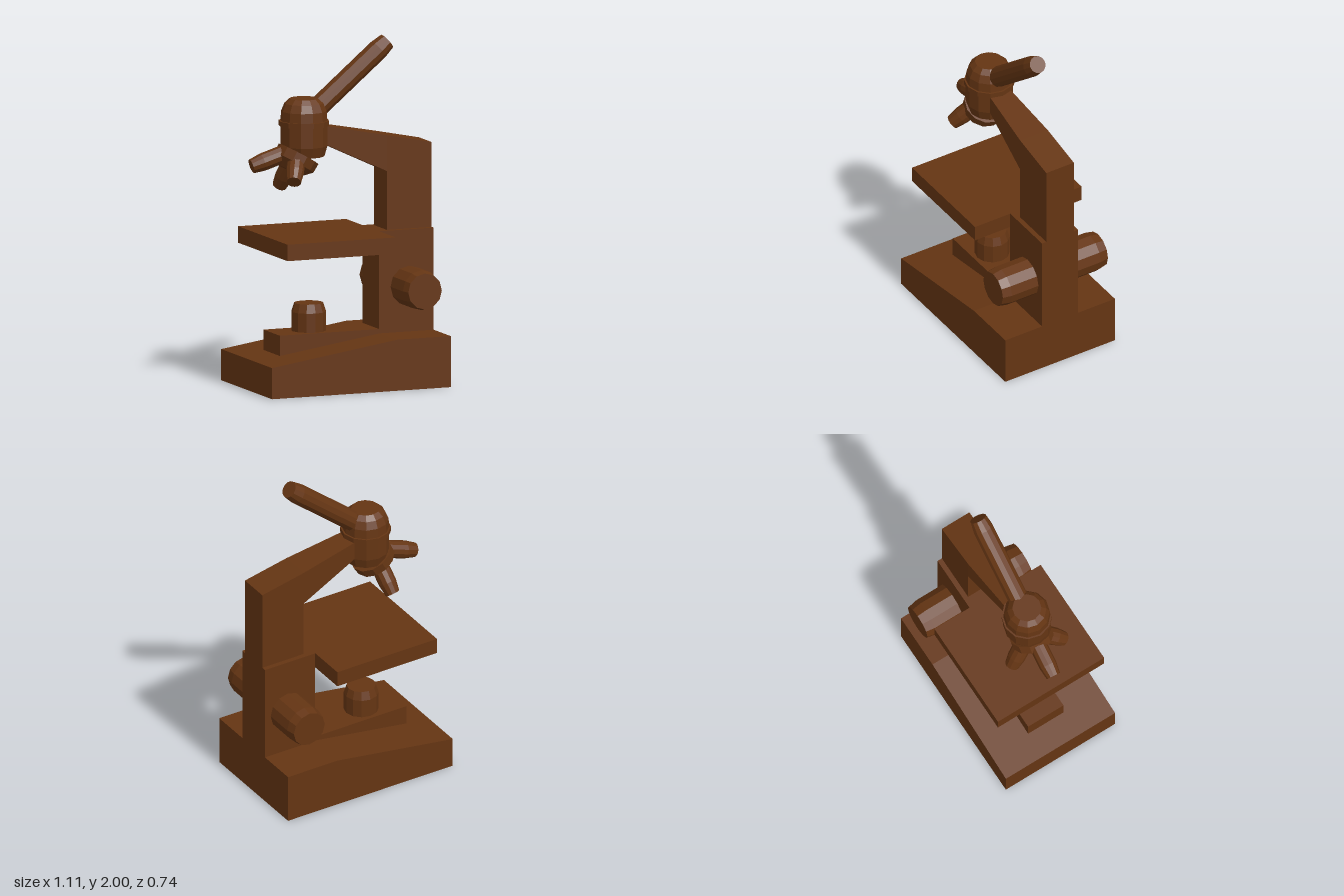
import * as THREE from 'three';

const material = new THREE.MeshStandardMaterial({ color: 0x653513, flatShading: true });

function add(parent, name, geometry) {
  const mesh = new THREE.Mesh(geometry, material);
  mesh.name = name;
  parent.add(mesh);
  return mesh;
}

// Box given by its limits in x and y, and its half depth in z
function block(parent, name, x0, x1, y0, y1, halfZ) {
  const mesh = add(parent, name, new THREE.BoxGeometry(x1 - x0, y1 - y0, halfZ * 2));
  mesh.position.set((x0 + x1) / 2, (y0 + y1) / 2, 0);
  return mesh;
}

// Side profile in x and y, extruded evenly about z = 0
function slab(points, halfZ) {
  const shape = new THREE.Shape(points.map(([x, y]) => new THREE.Vector2(x, y)));
  return new THREE.ExtrudeGeometry(shape, { depth: halfZ * 2, bevelEnabled: false }).translate(0, 0, -halfZ);
}

// Twelve-sided turned part, closed at both ends; profile is [radius, height] going up
function turned(profile) {
  const closed = [[0, profile[0][1]], ...profile, [0, profile[profile.length - 1][1]]];
  return new THREE.LatheGeometry(closed.map(([r, y]) => new THREE.Vector2(r, y)), 12);
}

// Turned rod running from one point to another, with a narrowed tip
function rod(parent, name, from, to, radius, tipRadius, tipLength) {
  const start = new THREE.Vector3(...from);
  const axis = new THREE.Vector3(...to).sub(start);
  const length = axis.length();
  const mesh = add(parent, name, turned([[radius, 0], [radius, length - tipLength], [tipRadius, length]]));
  mesh.position.copy(start);
  mesh.quaternion.setFromUnitVectors(new THREE.Vector3(0, 1, 0), axis.normalize());
  return mesh;
}

export function createModel() {
  const model = new THREE.Group();
  model.name = 'microscope';

  // Foot and stand
  add(model, 'base', slab([[-0.555, 0], [0.553, 0], [0.553, 0.295], [0.22, 0.295], [-0.555, 0.18]], 0.37));
  block(model, 'lampPlinth', -0.4, 0.22, 0.15, 0.32, 0.12);
  block(model, 'lowerPillar', 0.215, 0.553, 0.28, 0.885, 0.122);
  block(model, 'stage', -0.455, 0.215, 0.79, 0.885, 0.36);

  // Upper arm, narrowing in z toward the head
  const arm = slab([
    [0.275, 0.88], [0.553, 0.88], [0.553, 1.375], [0.275, 1.432],
    [-0.12, 1.51], [-0.12, 1.41], [0.275, 1.225],
  ], 0.093);
  const p = arm.attributes.position;
  for (let i = 0; i < p.count; i++) {
    if (p.getX(i) < 0) p.setZ(i, Math.sign(p.getZ(i)) * 0.066);
  }
  arm.computeVertexNormals();
  add(model, 'arm', arm);

  // Light under the stage
  const lamp = add(model, 'lamp', turned([[0.1, 0], [0.1, 0.11], [0.084, 0.16]]));
  lamp.position.set(-0.17, 0.32, 0);

  // Focus knobs on both sides
  for (const side of [1, -1]) {
    rod(model, side > 0 ? 'frontKnob' : 'backKnob',
      [0.4, 0.56, side * 0.1], [0.4, 0.56, side * 0.355], 0.115, 0.104, 0.055);
  }

  // Head with collar and domed top
  const head = add(model, 'head', turned([
    [0.118, 1.33], [0.135, 1.39], [0.135, 1.505], [0.145, 1.505], [0.145, 1.535],
    [0.135, 1.535], [0.131, 1.59], [0.112, 1.635], [0.083, 1.662],
  ]));
  head.position.x = -0.2;

  rod(model, 'eyepiece', [-0.15, 1.573, 0], [0.315, 1.96, 0], 0.06, 0.05, 0.07);

  // Tilted turret
  const turret = add(model, 'turret', turned([[0.07, -0.11], [0.125, -0.057], [0.128, 0]]));
  turret.position.set(-0.233, 1.343, 0);
  turret.rotation.z = -Math.PI / 6;

  // Three objectives spreading from the turret
  const tips = [[-0.515, 1.285, -0.022], [-0.332, 1.21, 0.165], [-0.285, 1.14, -0.155]];
  tips.forEach((tip, i) => rod(model, 'objective' + (i + 1), [-0.24, 1.375, 0], tip, 0.052, 0.042, 0.07));

  return model;
}
